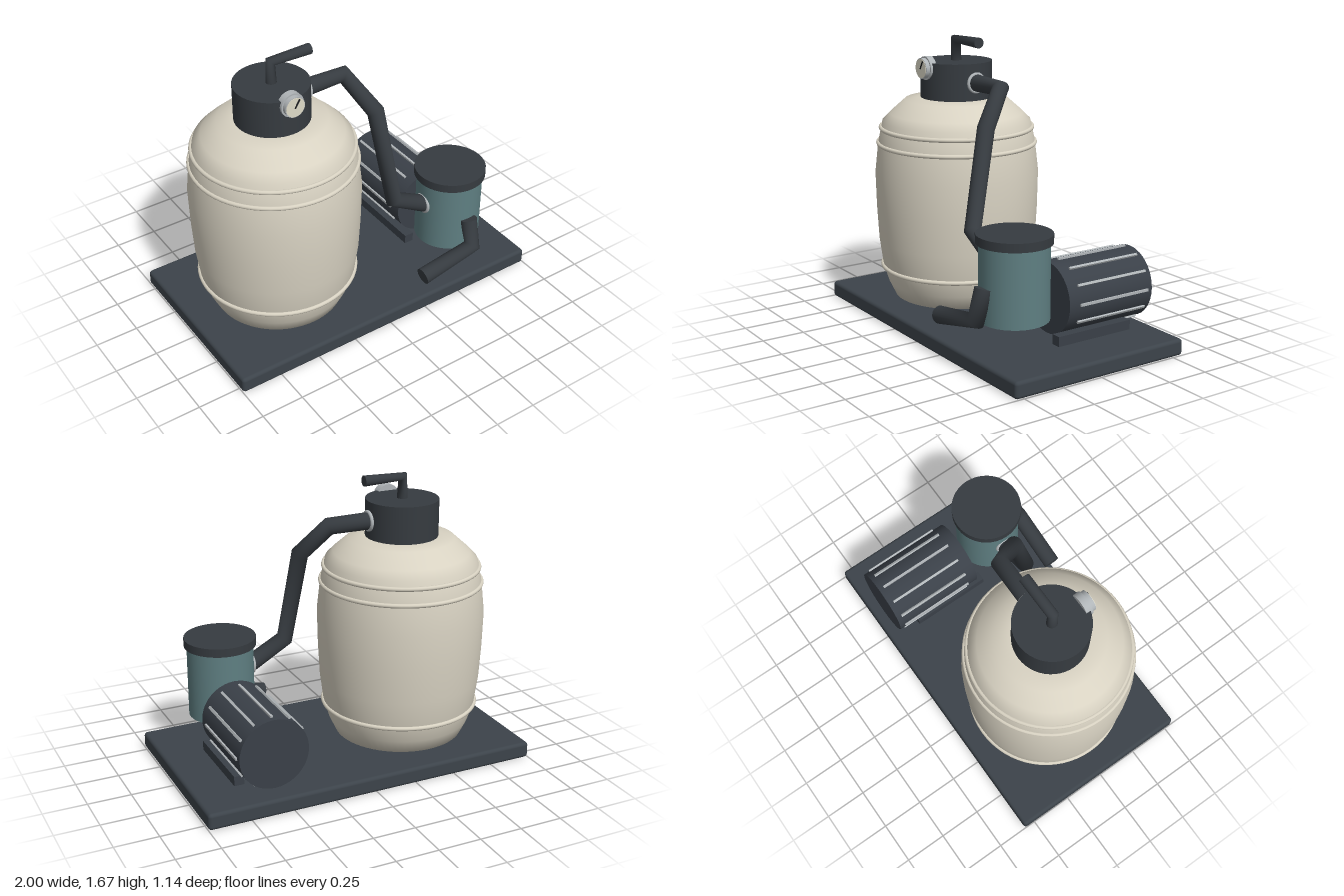
import * as THREE from 'three';
import { RoundedBoxGeometry } from 'three/addons/geometries/RoundedBoxGeometry.js';

const mat = (name, color, side = THREE.FrontSide) => {
  const m = new THREE.MeshStandardMaterial({ color, side });
  m.name = name;
  return m;
};

// Polyline whose tube has one ring per corner, set on the bisecting plane
class CornerPath extends THREE.Curve {
  constructor(points) {
    super();
    this.points = points.map((p) => new THREE.Vector3(...p));
  }
  index(u) { return Math.round(u * (this.points.length - 1)); }
  getPoint(u, target = new THREE.Vector3()) { return target.copy(this.points[this.index(u)]); }
  getPointAt(u, target) { return this.getPoint(u, target); }
  getTangentAt(u, target = new THREE.Vector3()) {
    const i = this.index(u), p = this.points, dir = new THREE.Vector3();
    target.set(0, 0, 0);
    if (i > 0) target.add(dir.subVectors(p[i], p[i - 1]).normalize());
    if (i < p.length - 1) target.add(dir.subVectors(p[i + 1], p[i]).normalize());
    return target.normalize();
  }
}

export function createModel() {
  const model = new THREE.Group();
  model.name = 'filterPumpUnit';
  const cream = mat('creamTank', 0xd8d2c2);
  const baseDark = mat('baseSlate', 0x3c434a);
  const dark = mat('darkPlastic', 0x363b40);
  const motorDark = mat('motorSlate', 0x3a4048);
  const teal = mat('tealHousing', 0x5f7f82);
  const steel = mat('steel', 0xb0b5b8);
  const ivory = mat('gaugeIvory', 0xdedac8);
  const black = mat('needleBlack', 0x1c1e20);

  const add = (name, geo, material, x = 0, y = 0, z = 0, parent = model) => {
    const mesh = new THREE.Mesh(geo, material);
    mesh.name = name;
    mesh.position.set(x, y, z);
    parent.add(mesh);
    return mesh;
  };
  const cyl = (r, h, seg = 40) => new THREE.CylinderGeometry(r, r, h, seg);
  const cylZ = (r, h, seg) => cyl(r, h, seg).rotateX(Math.PI / 2);

  // Bent pipe with closed ends
  const pipe = (name, points, r) => {
    const group = new THREE.Group();
    group.name = name;
    model.add(group);
    const path = new CornerPath(points);
    add(name + 'Tube', new THREE.TubeGeometry(path, points.length - 1, r, 24), dark, 0, 0, 0, group);
    for (const u of [0, 1]) {
      const p = path.getPointAt(u);
      const cap = add(name + 'Cap', new THREE.CircleGeometry(r, 24), dark, p.x, p.y, p.z, group);
      cap.lookAt(p.add(path.getTangentAt(u).multiplyScalar(u ? 1 : -1)));
    }
  };

  // Base plate
  add('basePlate', new RoundedBoxGeometry(2, 0.096, 1.12, 3, 0.02), baseDark, 0, 0.048, -0.01);

  // Filter tank with raised hoops
  const tx = -0.425, tz = -0.012;
  const profile = [[0, 0.096], [0.38, 0.096], [0.42, 0.18], [0.45, 0.275], [0.472, 0.44], [0.483, 0.64],
    [0.488, 0.85], [0.468, 1.03], [0.44, 1.16], [0.395, 1.205], [0.305, 1.285], [0.21, 1.297], [0, 1.297]];
  add('tank', new THREE.LatheGeometry(profile.map((p) => new THREE.Vector2(...p)), 64), cream, tx, 0, tz);
  for (const [y, r] of [[0.278, 0.453], [1.027, 0.467], [1.118, 0.45]]) {
    add('tankHoop', new THREE.TorusGeometry(r, 0.013, 10, 64).rotateX(Math.PI / 2), cream, tx, y, tz);
  }

  // Valve head and lever
  add('valveHead', cyl(0.211, 0.22, 48), dark, tx, 1.403, tz);
  pipe('valveLever', [[tx, 1.5, tz], [-0.425, 1.636, tz], [-0.18, 1.636, tz]], 0.031);

  // Pressure gauge
  add('gaugeBody', cylZ(0.069, 0.04), steel, -0.427, 1.48, 0.183);
  add('gaugeBezel', cylZ(0.06, 0.03), steel, -0.427, 1.48, 0.213);
  add('gaugeFace', cylZ(0.056, 0.004), ivory, -0.427, 1.48, 0.229);
  const needle = add('gaugeNeedle', new THREE.BoxGeometry(0.009, 0.055, 0.004), black, -0.416, 1.5, 0.232);
  needle.rotation.z = -0.55;

  // Connecting pipe and its collars
  pipe('connectingPipe', [[-0.23, 1.403, tz], [0.035, 1.403, tz], [0.14, 1.21, 0.155],
    [0.19, 0.658, 0.278], [0.41, 0.535, 0.278]], 0.05);
  for (const [x, y, z] of [[-0.208, 1.403, tz], [0.405, 0.538, 0.278]]) {
    add('pipeCollar', new THREE.TorusGeometry(0.052, 0.01, 10, 32).rotateY(Math.PI / 2), steel, x, y, z);
  }

  // Strainer pot and lid
  const px = 0.595, pz = 0.28;
  add('strainerPot', cyl(0.193, 0.43), teal, px, 0.48, pz);
  add('strainerLid', cyl(0.209, 0.05), dark, px, 0.714, pz);

  // Outlet pipe
  pipe('outletPipe', [[px, 0.468, 0.476], [px, 0.3, 0.525], [0.235, 0.228, 0.523]], 0.05);

  // Motor with cooling fins around it
  add('motorBody', cylZ(0.202, 0.57), motorDark, px, 0.34, -0.225);
  for (let i = 0; i < 12; i++) {
    const a = (i * Math.PI) / 6;
    const fin = add('coolingFin', new THREE.BoxGeometry(0.024, 0.014, 0.47), steel,
      px + 0.2 * Math.cos(a), 0.34 + 0.2 * Math.sin(a), -0.243);
    fin.rotation.z = a;
  }

  // Motor feet
  for (const s of [-1, 1]) {
    add('motorFoot', new THREE.BoxGeometry(0.058, 0.056, 0.49), motorDark, px + s * 0.154, 0.152, -0.128);
  }
  return model;
}
